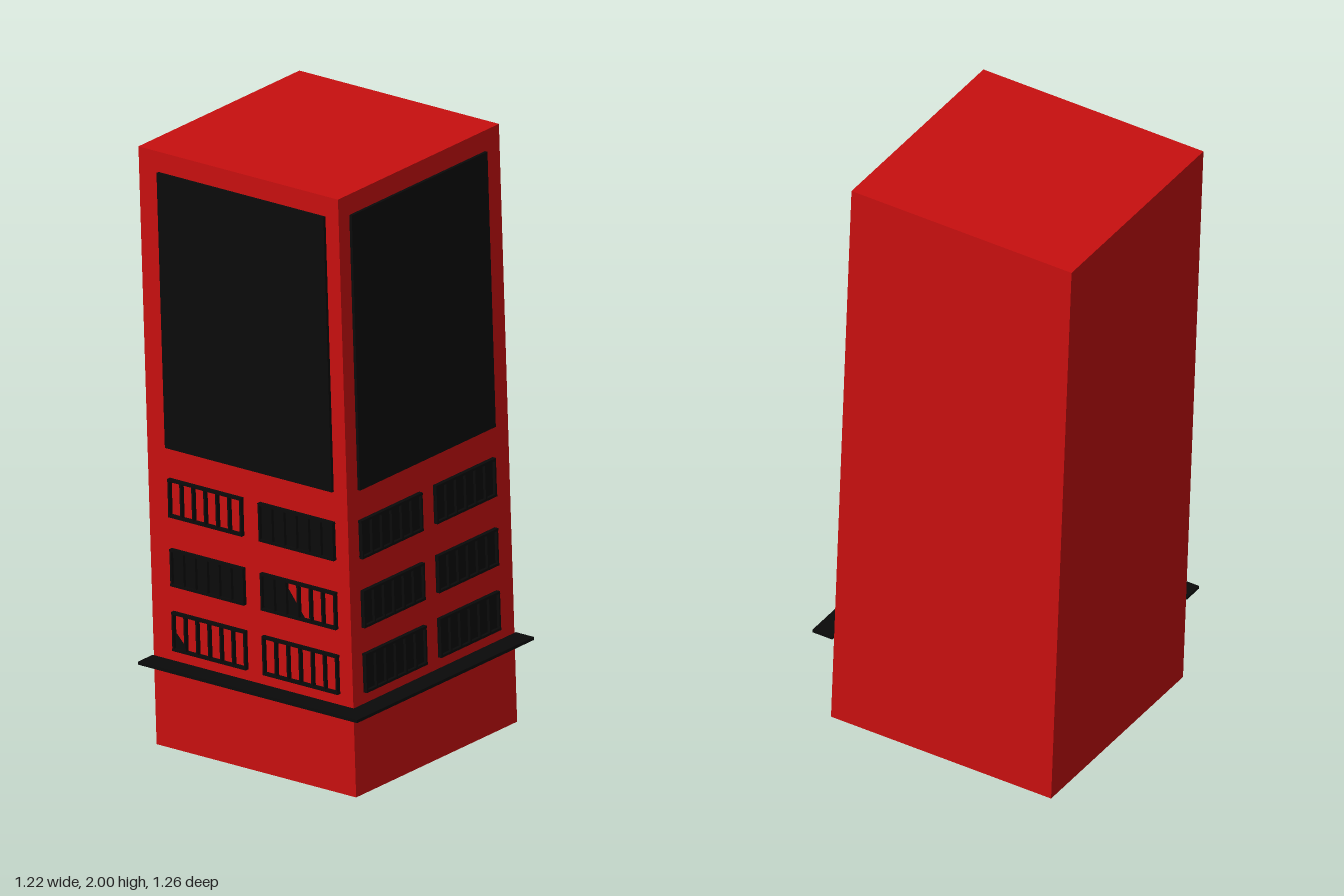
import * as THREE from 'three';

const W = 0.789, H = 1.967, D = 0.783;
const red = new THREE.MeshStandardMaterial({ color: 0xc80f0f });
const black = new THREE.MeshStandardMaterial({ color: 0x0a0a0a });
const blackThin = new THREE.MeshStandardMaterial({ color: 0x0a0a0a, side: THREE.DoubleSide });

function box(parent, name, mat, w, h, d, x, y, z) {
  const m = new THREE.Mesh(new THREE.BoxGeometry(w, h, d), mat);
  m.name = name;
  m.position.set(x, y, z);
  parent.add(m);
  return m;
}

// Window columns (distance from the front corner) and rows (height)
const COLS = [[0.05, 0.347], [0.413, 0.704]];
const ROWS = [[0.33, 0.458], [0.543, 0.665], [0.77, 0.896]];

// Barred window: black frame, vertical bars and an optional pane outline
function makeWindow(sign, [u0, u1], [y0, y1], pane) {
  const g = new THREE.Group();
  g.name = 'window';
  const t = 0.008, depth = 0.014, w = u1 - u0, h = y1 - y0;
  const cx = sign * (u0 + u1) / 2, cy = (y0 + y1) / 2;
  for (const y of [y0 + t / 2, y1 - t / 2]) box(g, 'windowRail', black, w, t, depth, cx, y, depth / 2);
  const bars = 7;
  for (let i = 0; i < bars; i++) {
    const u = u0 + t / 2 + (w - t) * i / (bars - 1);
    box(g, 'windowBar', black, t * 0.8, h, depth, sign * u, cy, depth / 2);
  }
  if (pane) {
    const shape = new THREE.Shape(pane.map(([u, y]) => new THREE.Vector2(sign * u, y)));
    const m = new THREE.Mesh(new THREE.ShapeGeometry(shape), blackThin);
    m.name = 'windowPane';
    m.position.z = 0.004;
    g.add(m);
  }
  return g;
}

// One decorated wall; sign is the direction leading away from the front corner
function makeWall(name, sign, paneFor) {
  const g = new THREE.Group();
  g.name = name;
  box(g, 'largePanel', black, 0.66, 0.905, 0.01, sign * 0.382, 1.4475, 0.005);
  ROWS.forEach((row, r) => COLS.forEach((col, c) => {
    g.add(makeWindow(sign, col, row, paneFor(r, c, col, row)));
  }));
  return g;
}

const fullPane = (r, c, [u0, u1], [y0, y1]) => [[u0, y0], [u1, y0], [u1, y1], [u0, y1]];

// Panes of the front wall: some are missing or only partly filled
function frontPane(r, c, col, row) {
  const [u1, y0, y1] = [col[1], row[0], row[1]];
  if (r === 0) return c === 1 ? [[u1, y0], [0.636, y0], [u1, 0.4]] : null;
  if (r === 1 && c === 0) return [[0.172, y0], [u1, y0], [u1, y1], [0.263, y1]];
  if (r === 2 && c === 1) return null;
  return fullPane(r, c, col, row);
}

export function createModel() {
  const model = new THREE.Group();
  model.name = 'tower';
  const tower = new THREE.Group();
  tower.name = 'leaningTower';
  model.add(tower);

  box(tower, 'towerBody', red, W, H, D, 0, H / 2, 0);

  // Two decorated walls meeting at the front corner
  const front = makeWall('frontWall', -1, frontPane);
  front.position.set(W / 2, 0, D / 2);
  const side = makeWall('sideWall', 1, fullPane);
  side.position.set(W / 2, 0, D / 2);
  side.rotation.y = Math.PI / 2;
  tower.add(front, side);

  // L-shaped canopy wrapping the front corner
  const gap = 0.006, out = 0.077, x = W / 2, z = D / 2;
  const outline = [[-x, z + gap], [x + gap, z + gap], [x + gap, -z], [x + out, -z], [x + out, z + out], [-x, z + out]];
  const canopy = new THREE.Mesh(
    new THREE.ExtrudeGeometry(new THREE.Shape(outline.map(p => new THREE.Vector2(...p))), { depth: 0.01, bevelEnabled: false }),
    black
  );
  canopy.name = 'canopy';
  canopy.rotation.x = Math.PI / 2;
  canopy.position.y = 0.296;
  tower.add(canopy);

  // Turn the tower on its corner and lean it slightly
  const up = new THREE.Vector3(-0.028, 0.999, -0.028).normalize();
  const across = new THREE.Vector3(0.767, 0.038, 0.64);
  across.addScaledVector(up, -across.dot(up)).normalize();
  const facing = new THREE.Vector3().crossVectors(across, up);
  tower.quaternion.setFromRotationMatrix(new THREE.Matrix4().makeBasis(across, up, facing));
  tower.position.set(0.0035, 0.0195, -0.0225);
  return model;
}
